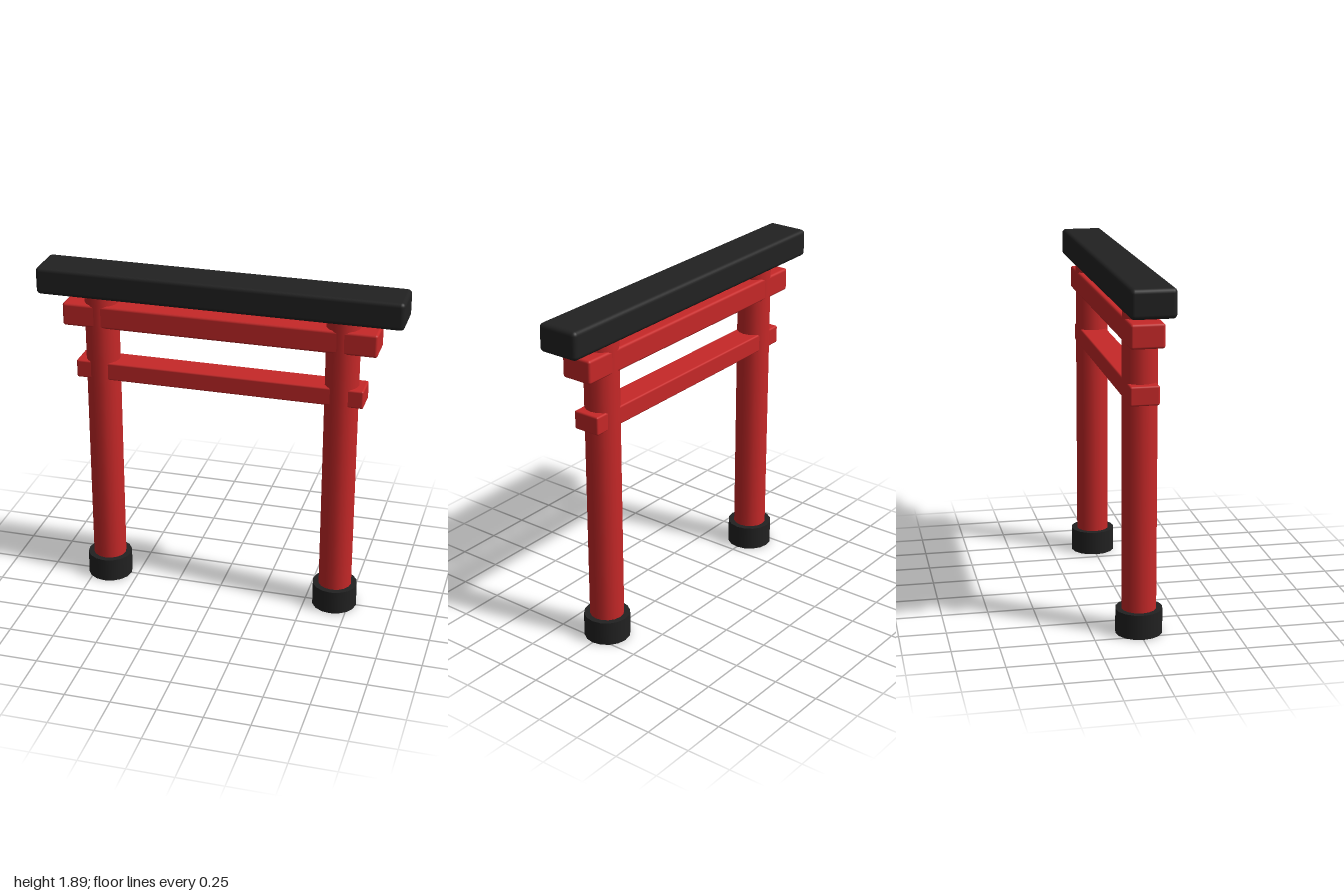
import * as THREE from 'three';
import { RoundedBoxGeometry } from 'three/addons/geometries/RoundedBoxGeometry.js';

export function createModel() {
  const group = new THREE.Group();
  const red = new THREE.MeshStandardMaterial({ color: 0xc62828 });
  red.name = 'red paint';
  const black = new THREE.MeshStandardMaterial({ color: 0x212121 });
  black.name = 'black paint';

  const add = (name, geometry, material, x, y) => {
    const mesh = new THREE.Mesh(geometry, material);
    mesh.name = name;
    mesh.position.set(x, y, 0);
    group.add(mesh);
  };

  // Horizontal beams with softened edges
  const beam = (name, length, bottom, top, depth, radius, material) =>
    add(name, new RoundedBoxGeometry(length, top - bottom, depth, 3, radius), material, 0, (bottom + top) / 2);

  beam('topBeam', 2, 1.74, 1.893, 0.236, 0.024, black);
  beam('upperCrossbeam', 1.727, 1.565, 1.693, 0.178, 0.014, red);
  beam('lowerCrossbeam', 1.597, 1.26, 1.362, 0.154, 0.01, red);

  // Round pillars, each standing in a wider black base
  const pillarBottom = 0.01, pillarTop = 1.76, baseHeight = 0.135;
  for (const [side, x] of [['left', 0.667], ['right', -0.667]]) {
    add(side + 'Pillar', new THREE.CylinderGeometry(0.093, 0.093, pillarTop - pillarBottom, 16),
      red, x, (pillarTop + pillarBottom) / 2);
    add(side + 'Base', new THREE.CylinderGeometry(0.126, 0.126, baseHeight, 16),
      black, x, baseHeight / 2);
  }
  return group;
}
